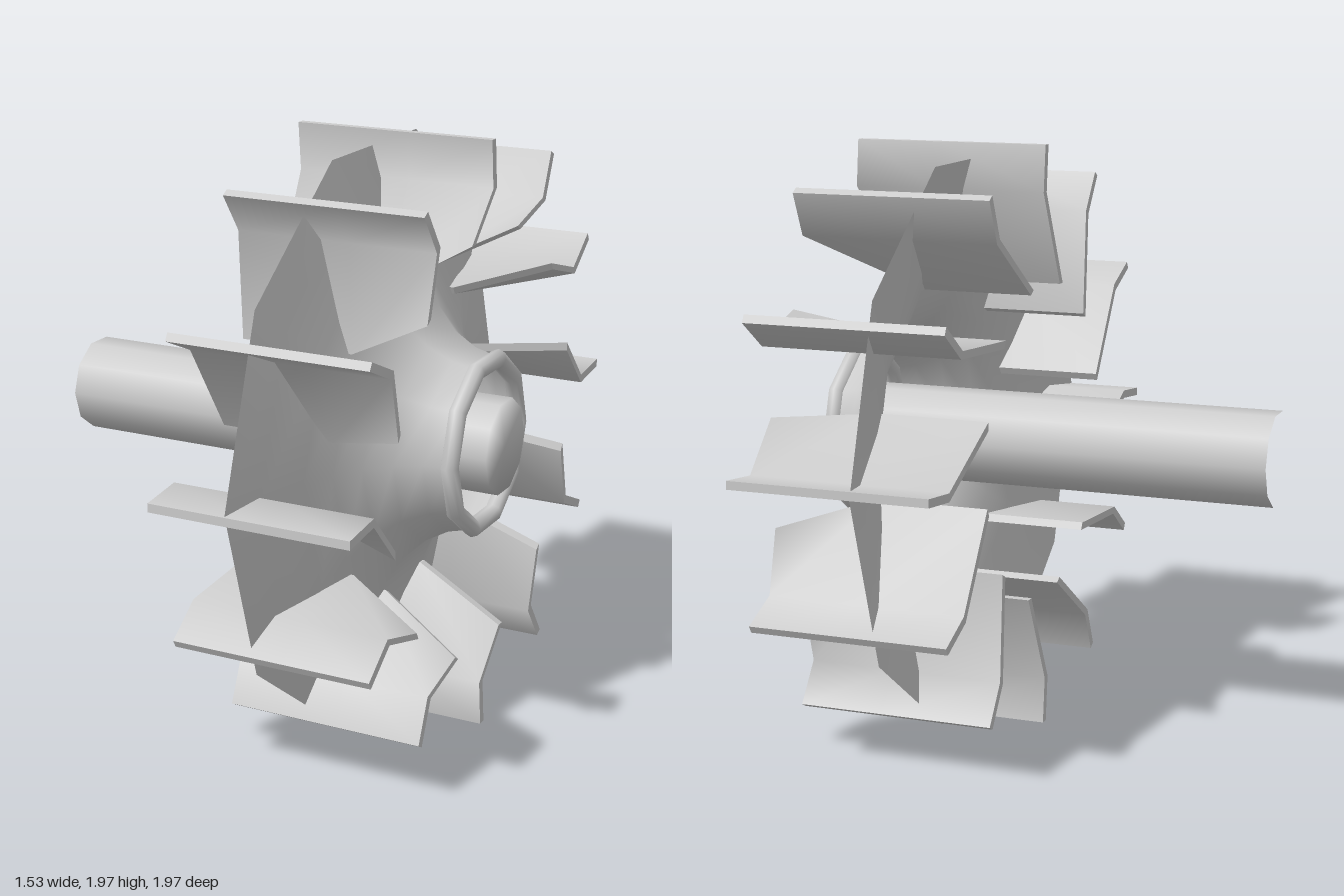
import * as THREE from 'three';

const SIDES = 10, BLADES = 12;

// Revolves a profile of [x, radius] points around the x axis
function revolve(name, profile, material) {
  const geometry = new THREE.LatheGeometry(profile.map(([x, r]) => new THREE.Vector2(r, x)), SIDES);
  geometry.rotateZ(-Math.PI / 2);
  const mesh = new THREE.Mesh(geometry, material);
  mesh.name = name;
  return mesh;
}

// Folded sheet: three rows (tip, fold, root) by three columns, with a bent front root corner
function bladeGeometry() {
  const columns = [0.03, 0.41, 0.7];
  const rows = [[0.985, 0.016], [0.83, -0.002], [0.51, 0.152]]; // [radius, sideways]
  const half = 0.014;
  const grid = rows.flatMap(([r, s]) => columns.map((x) => [x, r, s]));
  grid[8] = [0.7, 0.68, 0.152];
  const front = grid.map(([x, y, z]) => [x, y, z + half]);
  const back = grid.map(([x, y, z]) => [x, y, z - half]);
  const points = [...front, ...back];
  const index = [];

  // Both faces of the sheet
  for (let row = 0; row < 2; row++) {
    for (let col = 0; col < 2; col++) {
      const a = row * 3 + col, b = a + 1, d = a + 3, e = a + 4;
      for (const [p, q, r] of [[d, b, a], [d, e, b]]) {
        index.push(p, q, r, p + 9, r + 9, q + 9);
      }
    }
  }
  // Rim around the sheet, with its own corners so the edge stays sharp
  const loop = [6, 7, 8, 5, 2, 1, 0, 3];
  loop.forEach((p, i) => {
    const q = loop[(i + 1) % loop.length], n = points.length;
    points.push(back[p], back[q], front[q], front[p]);
    index.push(n, n + 1, n + 2, n, n + 2, n + 3);
  });

  const geometry = new THREE.BufferGeometry();
  geometry.setAttribute('position', new THREE.Float32BufferAttribute(points.flat(), 3));
  geometry.setIndex(index);
  geometry.computeVertexNormals();
  return geometry;
}

export function createModel() {
  const model = new THREE.Group();
  model.name = 'bladedWheel';
  const solid = new THREE.MeshStandardMaterial({ color: 0xcccccc });
  const sheet = new THREE.MeshStandardMaterial({ color: 0xcccccc, side: THREE.DoubleSide });

  const wheel = new THREE.Group();
  wheel.name = 'wheel';
  wheel.position.y = 1;
  model.add(wheel);

  // Shaft, closed at the hub end and open at the other
  wheel.add(revolve('shaft', [[-0.77, 0.158], [0.76, 0.158], [0.76, 0]], solid));

  // Flared disc rising into the open hub
  wheel.add(revolve('disc', [
    [0.29, 0.98], [0.325, 0.83], [0.37, 0.64], [0.41, 0.52],
    [0.46, 0.42], [0.53, 0.345], [0.61, 0.3], [0.69, 0.28],
  ], sheet));

  // Ring around the hub opening
  const ring = new THREE.Mesh(new THREE.TorusGeometry(0.275, 0.03, 8, SIDES), solid);
  ring.name = 'hubRing';
  ring.rotation.y = Math.PI / 2;
  ring.position.x = 0.69;
  wheel.add(ring);

  // Blades around the disc
  const blades = new THREE.Group();
  blades.name = 'blades';
  const geometry = bladeGeometry();
  for (let i = 0; i < BLADES; i++) {
    const blade = new THREE.Mesh(geometry, solid);
    blade.name = 'blade';
    blade.rotation.x = (i / BLADES) * Math.PI * 2;
    blades.add(blade);
  }
  wheel.add(blades);

  return model;
}
